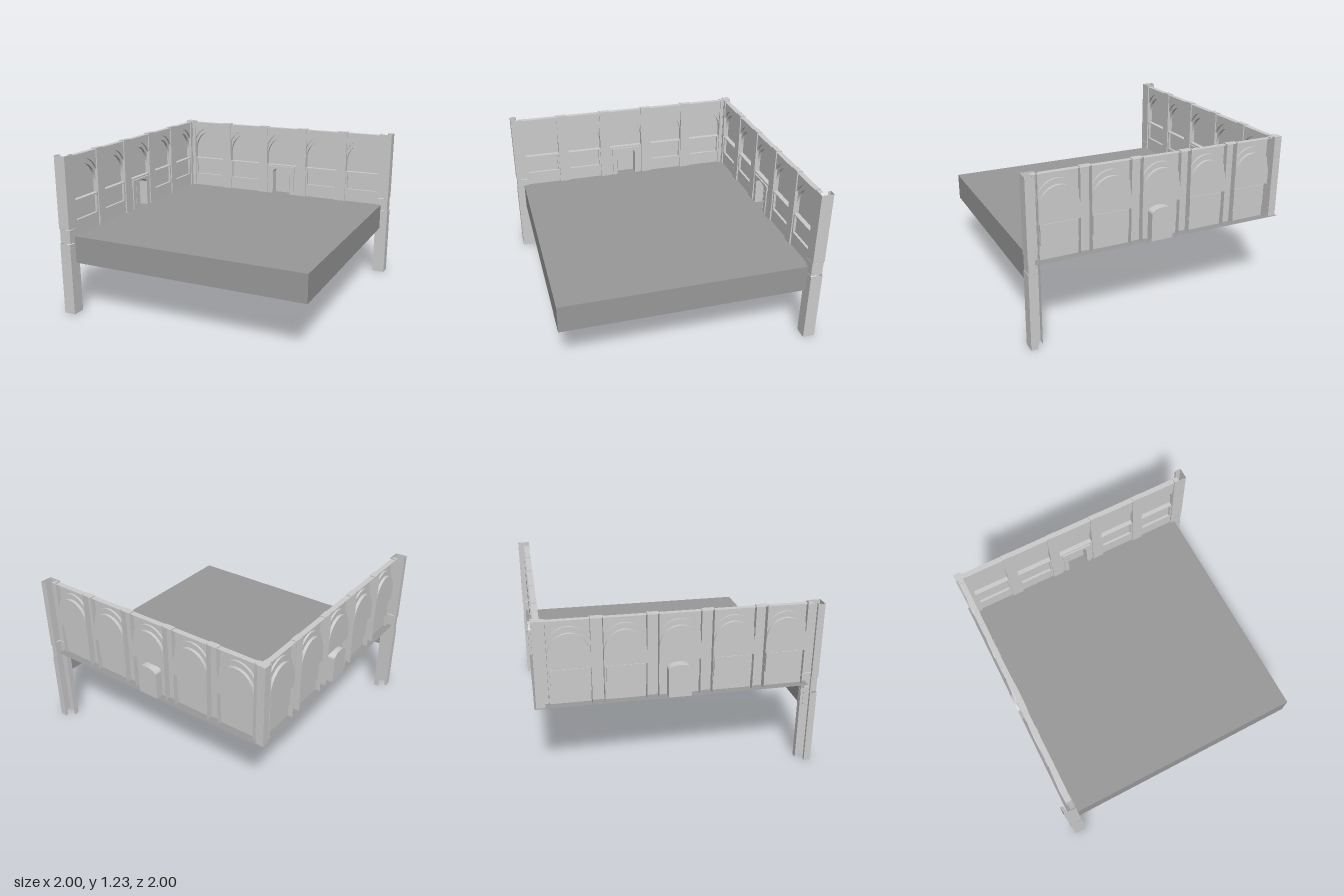
import * as THREE from 'three';

const wallMat = new THREE.MeshStandardMaterial({ color: 0xcccccc, side: THREE.DoubleSide, flatShading: true });
const floorMat = new THREE.MeshStandardMaterial({ color: 0x999999, side: THREE.DoubleSide, flatShading: true });

const FLOOR = 0.61, TOP = 1.215;
const FACE = -0.92, BAND = -0.935, BACK = -0.957; // wall depths
const H = 0.145;                                  // half width of a bay

function add(group, name, geometry, material = wallMat) {
  const mesh = new THREE.Mesh(geometry, material);
  mesh.name = name;
  group.add(mesh);
  return mesh;
}

// Open surface between two matching lines of points
function ribbon(a, b) {
  const pos = [];
  for (let i = 0; i < a.length - 1; i++)
    pos.push(...a[i], ...b[i], ...a[i + 1], ...a[i + 1], ...b[i], ...b[i + 1]);
  const g = new THREE.BufferGeometry();
  g.setAttribute('position', new THREE.Float32BufferAttribute(pos, 3));
  g.computeVertexNormals();
  return g;
}
// Line in the wall plane, swept in depth
const reveal = (pts, z0, z1) => ribbon(pts.map(([x, y]) => [x, y, z0]), pts.map(([x, y]) => [x, y, z1]));
// Line in plan (x, z), raised from y0 to y1
const raise = (plan, y0, y1) => ribbon(plan.map(([x, z]) => [x, y0, z]), plan.map(([x, z]) => [x, y1, z]));

const shapeOf = pts => new THREE.Shape(pts.map(([x, y]) => new THREE.Vector2(x, y)));
function plate(pts, z, hole) {
  const s = shapeOf(pts);
  if (hole) s.holes.push(shapeOf(hole));
  return new THREE.ShapeGeometry(s).translate(0, 0, z);
}
const rect = (x0, x1, y0, y1) => [[x0, y0], [x1, y0], [x1, y1], [x0, y1]];
const closed = pts => [...pts, pts[0]];

// Elliptic arc from left to right, cut off at half width w
function arc(cx, rx, ry, y, w = rx, n = 20) {
  const t0 = Math.acos(w / rx), pts = [];
  for (let i = 0; i <= n; i++) {
    const t = Math.PI - t0 - (i / n) * (Math.PI - 2 * t0);
    pts.push([cx + rx * Math.cos(t), y + ry * Math.sin(t)]);
  }
  return pts;
}

// Blind arch in the upper part of a bay
function archBay(g, cx) {
  const l = cx - H, r = cx + H;
  const inner = arc(cx, H, 0.165, 0.96);
  const outer = arc(cx, 0.17, 0.215, 0.95, H);
  add(g, 'spandrel', plate([...outer, [r, TOP], [l, TOP]], FACE));
  add(g, 'archOuterEdge', reveal(outer, FACE, BAND));
  add(g, 'archBand', plate([...inner, ...[...outer].reverse()], BAND));
  add(g, 'archInnerEdge', reveal([[l, 0.875], ...inner, [r, 0.875]], BAND, BACK));
  add(g, 'archPanel', plate([[l, 0.875], ...inner, [r, 0.875]], BACK));
  add(g, 'sill', reveal([[l, 0.875], [r, 0.875]], FACE, BACK));
}

// Sunken rectangular panel below an arch
function lowerPanel(g, cx) {
  const hole = rect(cx - 0.13, cx + 0.13, 0.72, 0.865);
  add(g, 'dado', plate(rect(cx - H, cx + H, FLOOR, 0.875), FACE, hole));
  add(g, 'panelEdge', reveal(closed(hole), FACE, -0.94));
  add(g, 'panel', plate(hole, -0.94));
}

// Arched door niche that projects behind the wall
function doorNiche(g, cx) {
  const w = 0.082;
  const opening = [[cx - w, FLOOR], ...arc(cx, w, 0.04, 0.81), [cx + w, FLOOR]];
  add(g, 'doorWall', plate([[cx - H, FLOOR], ...opening, [cx + H, FLOOR], [cx + H, 0.875], [cx - H, 0.875]], FACE));
  add(g, 'nicheEdge', reveal(opening, -0.908, -0.98));
  add(g, 'nicheBack', plate(opening, -0.98));
  // Raised jambs and head
  for (const s of [-1, 1]) {
    const jamb = new THREE.BoxGeometry(0.036, 0.2, 0.01);
    add(g, 'doorJamb', jamb).position.set(cx + s * 0.102, 0.71, -0.914);
  }
  const curve = arc(cx, w, 0.04, 0.81);
  const head = [[cx - 0.125, 0.81], ...curve, [cx + 0.125, 0.81], [cx + 0.125, 0.862], [cx - 0.125, 0.862]];
  const headGeo = new THREE.ExtrudeGeometry(shapeOf(head), { depth: 0.013, bevelEnabled: false });
  add(g, 'doorHead', headGeo).position.z = FACE;
}

// Hollow pilaster, open behind, with a plinth
function pilaster(g, x0, x1) {
  const channel = (d, f) => [[x0 - d, BACK], [x0 - d, f], [x1 + d, f], [x1 + d, BACK]];
  add(g, 'pilaster', raise(channel(0, -0.911), FLOOR, 1.222));
  add(g, 'pilasterPlinth', raise(channel(0.003, -0.907), FLOOR, 0.7));
  add(g, 'pilasterTop', reveal([[x0, 1.222], [x1, 1.222]], -0.911, -0.95));
}

// Hollow end pillar running down to the ground, in three stages
function endPillar(g) {
  for (const [y0, y1, d] of [[0, 0.558, 0], [0.562, 0.668, 0.004], [0.672, 1.225, 0]]) {
    const o = 1 - d;
    add(g, 'endPillar', raise([[0.9, -0.95], [0.9, -0.908], [o, -0.908], [o, -o], [0.95, -o], [0.95, -0.98]], y0, y1));
  }
}

function wing(name) {
  const g = new THREE.Group();
  g.name = name;
  [-0.735, -0.361, 0.01, 0.385, 0.757].forEach((cx, i) => {
    archBay(g, cx);
    if (i === 2) doorNiche(g, cx);
    else lowerPanel(g, cx);
  });
  for (const [a, b] of [[-0.95, -0.88], [-0.59, -0.506], [-0.216, -0.135], [0.155, 0.24], [0.53, 0.612]])
    pilaster(g, a, b);
  add(g, 'wallTop', reveal([[-0.95, TOP], [0.94, TOP]], -0.911, -0.952));
  endPillar(g);
  return g;
}

export function createModel() {
  const model = new THREE.Group();
  model.name = 'arcadeCorner';

  // Floor sheet with skirts on its two free sides, open below
  const lo = -0.98, hi = 0.94;
  add(model, 'floor', ribbon([[lo, FLOOR, lo], [lo, FLOOR, hi]], [[hi, FLOOR, lo], [hi, FLOOR, hi]]).scale(1, 1, 1), floorMat);
  add(model, 'floorSkirt', raise([[lo + 0.07, hi], [hi, hi], [hi, lo + 0.07]], 0.4, FLOOR), floorMat);

  // Two wings, the second mirrored across the diagonal
  model.add(wing('backWall'));
  const side = wing('sideWall');
  side.rotation.y = Math.PI / 2;
  side.scale.x = -1;
  model.add(side);

  // Post where the wings meet
  add(model, 'cornerPost', new THREE.BoxGeometry(0.06, 0.614, 0.06)).position.set(-0.938, 0.918, -0.938);
  return model;
}
